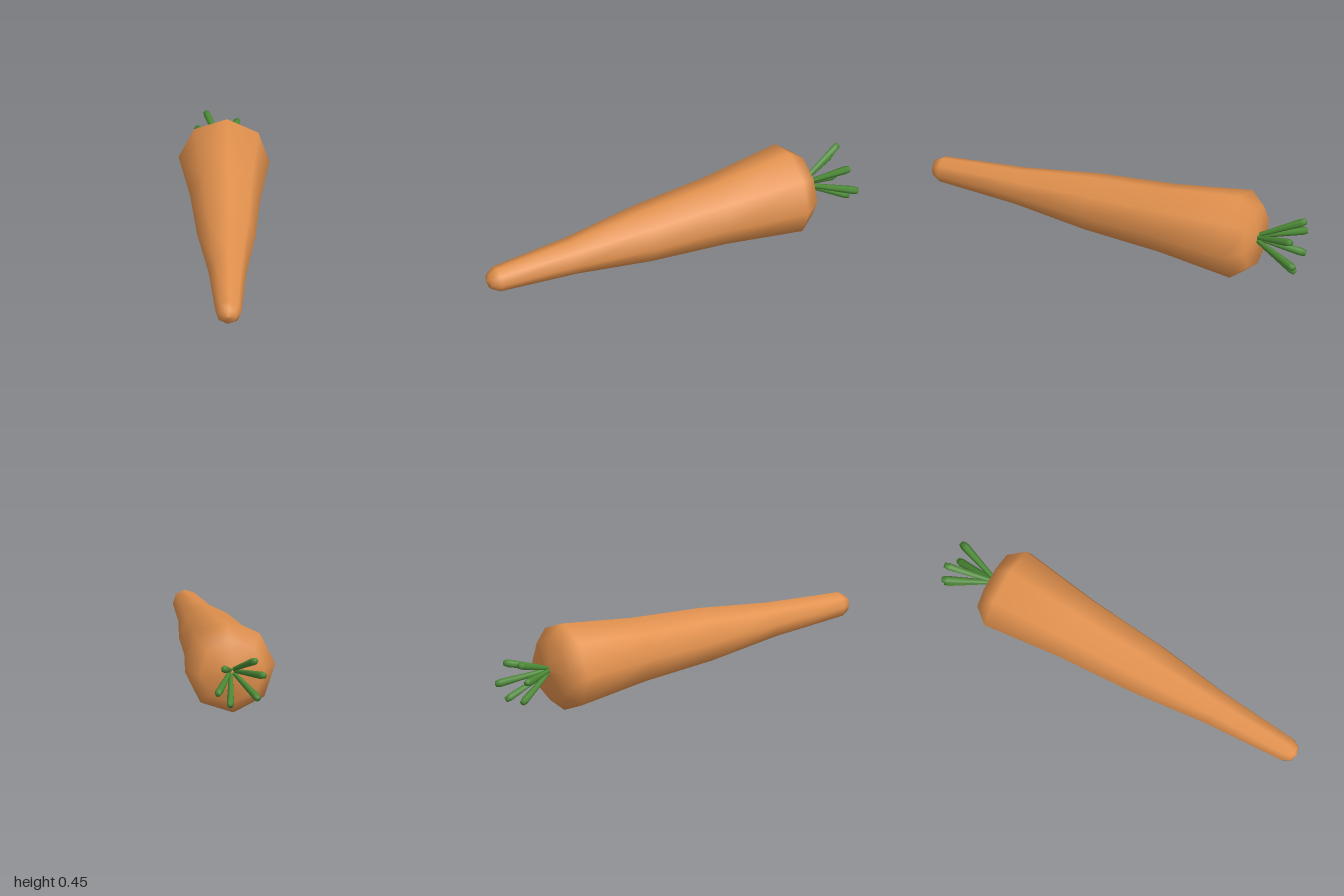
import * as THREE from 'three';

const UP = new THREE.Vector3(0, 1, 0);

// Turned part whose axis starts at "from" and points at "to"
function turned(name, profile, sides, color, from, to) {
  const geometry = new THREE.LatheGeometry(profile.map(([r, s]) => new THREE.Vector2(r, s)), sides);
  const mesh = new THREE.Mesh(geometry, new THREE.MeshStandardMaterial({ color }));
  mesh.name = name;
  mesh.position.copy(from);
  mesh.quaternion.setFromUnitVectors(UP, to.clone().sub(from).normalize());
  return mesh;
}

export function createModel() {
  const group = new THREE.Group();
  group.name = 'carrot';

  // Root: eight-sided, smooth shaded, domed crown to rounded tip; [radius, distance along axis]
  const rootProfile = [
    [0, -0.098], [0.158, -0.08], [0.2245, 0], [0.173, 0.4], [0.144, 0.8],
    [0.093, 1.195], [0.064, 1.605], [0.04, 1.646], [0, 1.66],
  ];
  group.add(turned('root', rootProfile, 8, 0xe3924e,
    new THREE.Vector3(0, 0.227, -0.66), new THREE.Vector3(0.115, 0.198, 1)));

  // Stems: a ring of trimmed stalks fanning out from the crown
  const stems = new THREE.Group();
  stems.name = 'stems';
  const base = new THREE.Vector3(0, 0.23, -0.74);
  const ends = [
    [0.05, 0.29, -0.965], [0.083, 0.17, -0.995], [0.02, 0.105, -0.97],
    [-0.12, 0.135, -0.955], [-0.15, 0.25, -0.95], [-0.105, 0.33, -0.965],
  ];
  for (const e of ends) {
    const end = new THREE.Vector3(...e);
    // Each stalk starts a little off centre, on its own side
    const start = base.clone().add(new THREE.Vector3(e[0] * 0.07, (e[1] - base.y) * 0.07, 0));
    const length = start.distanceTo(end);
    const profile = [[0, 0], [0.01, 0], [0.02, length - 0.025], [0.015, length], [0, length + 0.003]];
    stems.add(turned('stem', profile, 6, 0x4c8a36, start, end));
  }
  group.add(stems);
  return group;
}
